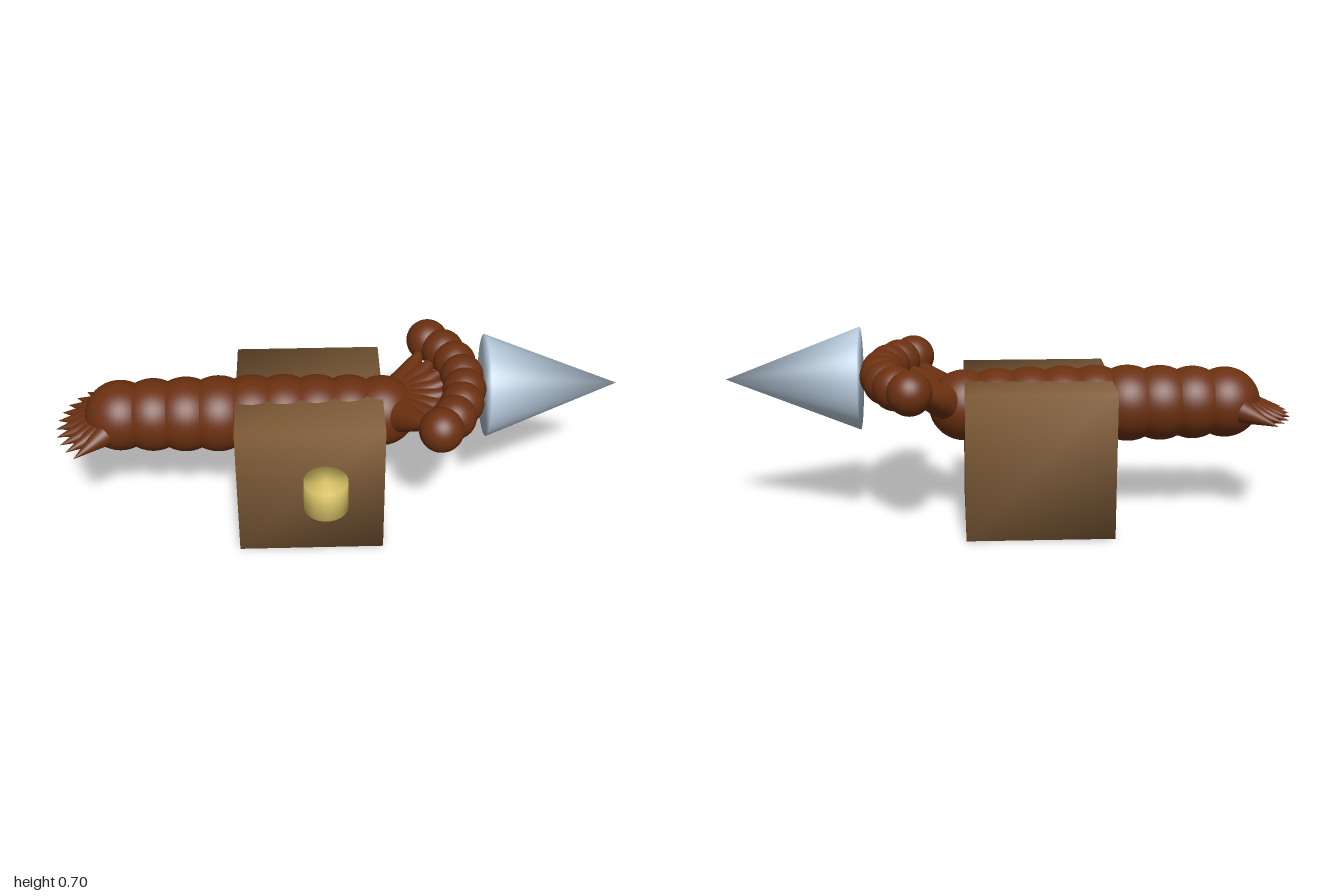
import * as THREE from 'three';
import { mergeVertices } from 'three/addons/utils/BufferGeometryUtils.js';

const MID_Z = -0.033;
const material = (name, color) => {
  const m = new THREE.MeshStandardMaterial({ color });
  m.name = name;
  return m;
};

// Weld all corners so shading runs smoothly across every edge
function weld(geometry) {
  geometry.deleteAttribute('uv');
  geometry.deleteAttribute('normal');
  const g = mergeVertices(geometry, 1e-5);
  g.computeVertexNormals();
  return g;
}

export function createModel() {
  const group = new THREE.Group();
  const shell = material('shell brown', 0x6b3010);
  const wood = material('wood brown', 0x85603a);
  const brass = material('brass yellow', 0xdcc668);
  const steel = material('pale steel', 0xb8cbdd);

  const add = (name, geometry, mat, x, y, z) => {
    const mesh = new THREE.Mesh(geometry, mat);
    mesh.name = name;
    mesh.position.set(x, y, z);
    group.add(mesh);
    return mesh;
  };

  // Cone with its base centred at one point and its tip at another
  const spike = (name, base, tip, radius) => {
    const dir = tip.clone().sub(base);
    const mid = base.clone().add(tip).multiplyScalar(0.5);
    const mesh = add(name, new THREE.ConeGeometry(radius, dir.length(), 32), shell, mid.x, mid.y, mid.z);
    mesh.quaternion.setFromUnitVectors(new THREE.Vector3(0, 1, 0), dir.normalize());
  };

  // Block and round knob on its front
  add('block', weld(new THREE.BoxGeometry(0.517, 0.52, 0.52)), wood, -0.094, 0.26, -0.031);
  add('knob', weld(new THREE.CylinderGeometry(0.077, 0.077, 0.116, 48)), brass, -0.043, 0.318, 0.307);

  // Nose cone pointing along +x
  const nose = add('noseCone', weld(new THREE.ConeGeometry(0.181, 0.47, 64)), steel, 0.765, 0.521, MID_Z);
  nose.rotation.z = -Math.PI / 2;

  // Row of overlapping body segments, slightly thicker in the middle
  const segments = 9;
  for (let i = 0; i < segments; i++) {
    const t = i / (segments - 1);
    const r = 0.126 + 0.011 * Math.sin(Math.PI * t);
    add('bodySegment', new THREE.SphereGeometry(r, 40, 28), shell, -0.768 + 0.933 * t, 0.419, MID_Z);
  }

  // Tail fan of small spikes
  const spikes = 10;
  for (let i = 0; i < spikes; i++) {
    const a = 0.8 * (2 * i / (spikes - 1) - 1);
    const at = (r, y) => new THREE.Vector3(-0.722 - r * Math.cos(a), y, MID_Z + r * Math.sin(a));
    spike('tailSpike', at(0.14, 0.405), at(0.279, 0.38), 0.04);
  }

  // Head fan: tapered arms ending in balls on a wide arc
  const arms = 8;
  for (let i = 0; i < arms; i++) {
    const a = 0.73 * (2 * i / (arms - 1) - 1);
    const at = (cx, r, y) => new THREE.Vector3(cx + r * Math.cos(a), y, MID_Z + r * Math.sin(a));
    const tip = at(0.042, 0.413, 0.535);
    spike('headArm', at(0.145, 0.12, 0.452), tip, 0.06);
    add('headBall', new THREE.SphereGeometry(0.077, 32, 24), shell, tip.x, tip.y, tip.z);
  }

  return group;
}
